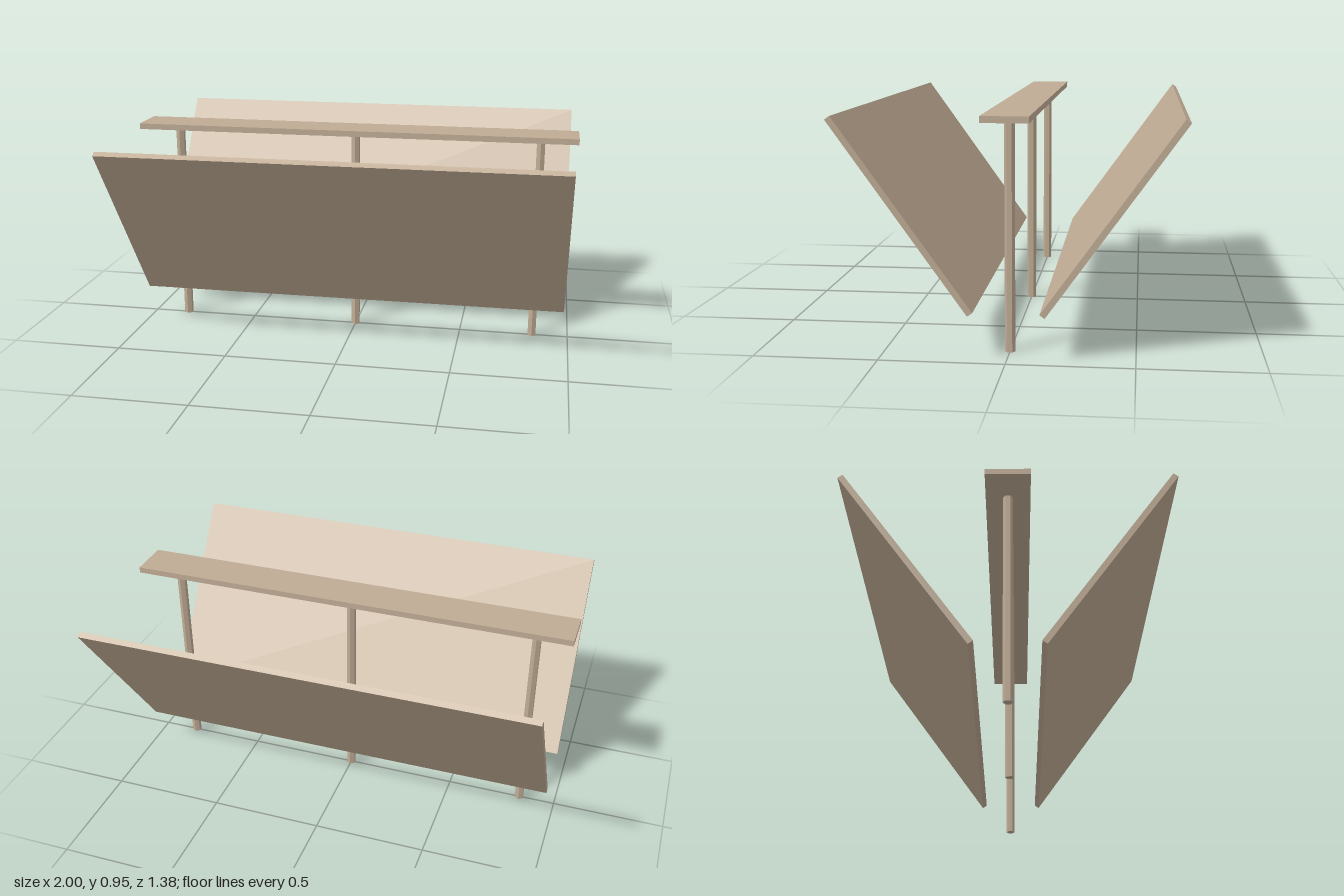
import * as THREE from 'three';

export function createModel() {
  const group = new THREE.Group();
  const wood = new THREE.MeshStandardMaterial({ color: 0xbfab94, flatShading: true });
  wood.name = 'pale wood';

  const add = (name, geometry, x, y, z) => {
    const mesh = new THREE.Mesh(geometry, wood);
    mesh.name = name;
    mesh.position.set(x, y, z);
    group.add(mesh);
    return mesh;
  };

  // Flat rail on top of the posts
  add('topRail', new THREE.BoxGeometry(2, 0.026, 0.186), 0, 0.941, 0);

  // Three six-sided posts
  const postGeometry = new THREE.CylinderGeometry(0.021, 0.021, 0.928, 6);
  [['rightPost', -0.836], ['middlePost', 0], ['leftPost', 0.836]].forEach(([name, x]) =>
    add(name, postGeometry, x, 0.464, 0));

  // Two boards leaning outward, mirrored front to back
  const boardGeometry = new THREE.BoxGeometry(1.95, 0.927, 0.025);
  [['frontBoard', 1], ['backBoard', -1]].forEach(([name, side]) => {
    const board = add(name, boardGeometry, 0, 0.562, side * 0.409);
    board.rotation.x = side * THREE.MathUtils.degToRad(35.5);
  });

  return group;
}
